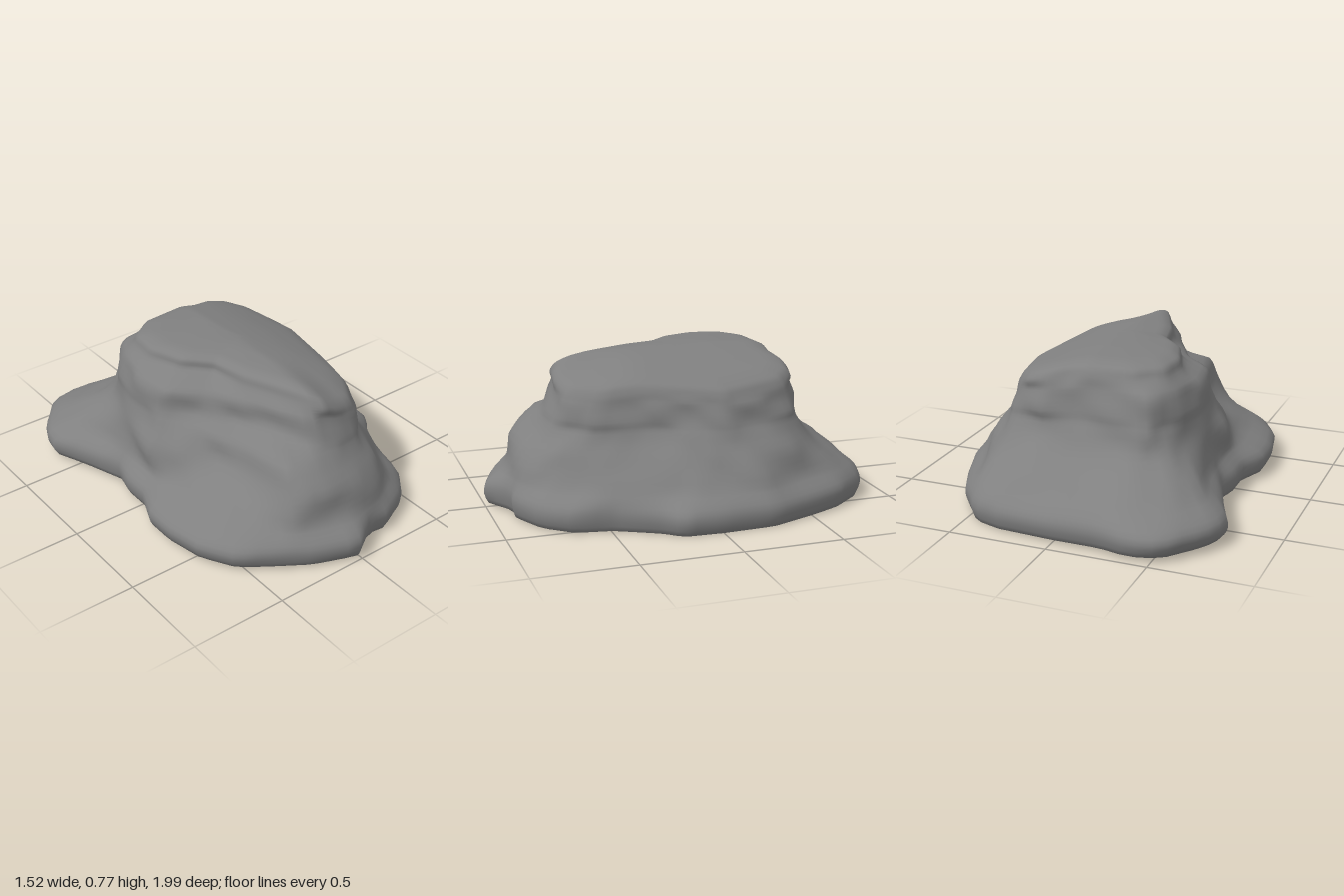
import * as THREE from 'three';

const SIDES = 96, STEPS = 4, CX = 0.05; // CX: x of the axis the contours are measured from
const { lerp, smoothstep } = THREE.MathUtils;

// Distance from the axis to a closed x,z outline along one direction.
function reach(outline, angle) {
  const dx = Math.cos(angle), dz = Math.sin(angle);
  let best = 0;
  for (let i = 0; i < outline.length; i += 2) {
    const k = (i + 2) % outline.length;
    const px = outline[i] - CX, pz = outline[i + 1];
    const ex = outline[k] - CX - px, ez = outline[k + 1] - pz;
    const det = dx * ez - dz * ex;
    if (Math.abs(det) < 1e-9) continue;
    const t = (px * ez - pz * ex) / det;
    const s = (px * dz - pz * dx) / det;
    if (s >= 0 && s <= 1 && t > best) best = t;
  }
  return best;
}

function contour(y, outline, scale = 1) {
  const r = [];
  for (let j = 0; j < SIDES; j++) r.push(reach(outline, (j / SIDES) * Math.PI * 2) * scale);
  return { y, r };
}

// Outlines run back, right, front, left.
const opening = [0, -0.86, -0.4, -0.89, -0.56, -0.8, -0.63, -0.64, -0.58, -0.4, -0.54, -0.15, -0.55, 0.05,
  -0.6, 0.25, -0.57, 0.48, -0.42, 0.72, -0.2, 0.84, 0, 0.88, 0.25, 0.82, 0.42, 0.66, 0.54, 0.42,
  0.63, 0.18, 0.67, -0.1, 0.63, -0.4, 0.52, -0.68, 0.32, -0.83];
const foot = [0, -0.94, -0.25, -0.95, -0.4, -0.99, -0.55, -0.96, -0.7, -0.78, -0.76, -0.64, -0.68, -0.45,
  -0.6, -0.22, -0.63, -0.1, -0.63, 0.05, -0.69, 0.2, -0.69, 0.35, -0.65, 0.55, -0.55, 0.72, -0.4, 0.82,
  -0.24, 0.92, -0.02, 1, 0.14, 0.9, 0.24, 0.91, 0.42, 0.82, 0.53, 0.68, 0.56, 0.5, 0.67, 0.28, 0.74, 0.2,
  0.75, 0, 0.74, -0.27, 0.65, -0.52, 0.58, -0.68, 0.44, -0.86, 0.3, -0.91];
const skirt = [0, -0.85, -0.35, -0.86, -0.55, -0.76, -0.64, -0.6, -0.57, -0.35, -0.55, -0.15, -0.56, 0.05,
  -0.56, 0.2, -0.54, 0.38, -0.49, 0.55, -0.41, 0.69, -0.28, 0.83, 0, 0.9, 0.2, 0.87, 0.38, 0.76,
  0.5, 0.55, 0.58, 0.3, 0.66, 0.1, 0.67, -0.25, 0.57, -0.5, 0.48, -0.7, 0.33, -0.82];
const shelf = [0, -0.65, -0.3, -0.66, -0.45, -0.57, -0.53, -0.3, -0.56, 0, -0.49, 0.16, -0.38, 0.32,
  -0.32, 0.47, -0.29, 0.66, -0.25, 0.8, -0.1, 0.86, 0.1, 0.84, 0.3, 0.74, 0.43, 0.5, 0.5, 0.25,
  0.58, 0, 0.6, -0.2, 0.53, -0.45, 0.42, -0.6, 0.2, -0.66];
const waist = [0, -0.57, -0.35, -0.59, -0.45, -0.45, -0.5, -0.2, -0.5, 0, -0.37, 0.2, -0.3, 0.4, -0.27, 0.55,
  -0.23, 0.68, -0.1, 0.73, 0.05, 0.74, 0.22, 0.7, 0.35, 0.55, 0.4, 0.3, 0.48, 0.1, 0.53, -0.12, 0.49, -0.35,
  0.39, -0.52, 0.2, -0.58];
const shoulder = [0, -0.53, -0.33, -0.54, -0.43, -0.4, -0.47, -0.2, -0.44, 0, -0.32, 0.13, -0.22, 0.28,
  -0.13, 0.5, -0.05, 0.64, 0.1, 0.66, 0.24, 0.64, 0.34, 0.5, 0.37, 0.3, 0.43, 0.1, 0.48, -0.1,
  0.45, -0.3, 0.39, -0.47, 0.2, -0.55];
const crown = [0, -0.49, -0.23, -0.47, -0.35, -0.38, -0.37, -0.22, -0.31, -0.04, -0.2, 0.08, -0.16, 0.26,
  -0.06, 0.5, 0, 0.62, 0.1, 0.62, 0.22, 0.59, 0.31, 0.46, 0.34, 0.3, 0.39, 0.1, 0.44, -0.1,
  0.41, -0.25, 0.37, -0.41, 0.29, -0.49, 0.2, -0.51, 0.08, -0.48];

const catmull = (a, b, c, d, t) =>
  b + 0.5 * t * (c - a + t * (2 * a - 5 * b + 4 * c - d + t * (3 * (b - c) + d - a)));

function rockGeometry() {
  const levels = [
    contour(0.035, opening), // inner edge of the open underside
    contour(0.018, foot, 0.985),
    contour(0.115, foot),
    contour(0.2, skirt),
    contour(0.34, shelf),
    contour(0.46, waist),
    contour(0.53, shoulder, 1.05),
    contour(0.63, shoulder),
    contour(0.69, crown, 1.06),
    contour(0.738, crown),
    contour(0.762, crown, 0.84),
    contour(0.773, crown, 0.45),
    contour(0.775, crown, 0),
  ];
  const last = levels.length - 1, positions = [], index = [];
  const at = (i) => levels[Math.min(last, Math.max(0, i))];
  const rows = last * STEPS;
  for (let row = 0; row <= rows; row++) {
    const i = Math.min(last - 1, Math.floor(row / STEPS)), t = row / STEPS - i;
    const [a, b, c, d] = [at(i - 1), at(i), at(i + 1), at(i + 2)];
    const level = lerp(b.y, c.y, t);
    const high = (level / 0.76) ** 3;
    for (let j = 0; j < SIDES; j++) {
      const angle = (j / SIDES) * Math.PI * 2;
      let r = catmull(a.r[j], b.r[j], c.r[j], d.r[j], t);
      // shallow weathering on the flanks
      const flank = smoothstep(level, 0.1, 0.2) * (1 - smoothstep(level, 0.6, 0.7));
      r += flank * 0.005 * (Math.sin(7 * angle + 17 * level) + Math.sin(11 * angle - 29 * level));
      const x = CX + r * Math.cos(angle), z = r * Math.sin(angle);
      // the top falls away to the left and over the nose, the foot tilts slightly
      const left = Math.max(0, x);
      const nose = smoothstep(z, 0.25, 0.65) * smoothstep(x, -0.05, 0.15);
      const y = level - (0.17 * left + 0.25 * left * left + 0.05 * nose) * high - 0.02 * x * (1 - level / 0.78);
      positions.push(x, Math.max(0, y), z);
    }
  }
  for (let row = 0; row < rows; row++) {
    for (let j = 0; j < SIDES; j++) {
      const a = row * SIDES + j, b = row * SIDES + ((j + 1) % SIDES);
      index.push(a, a + SIDES, b, b, a + SIDES, b + SIDES);
    }
  }
  const geometry = new THREE.BufferGeometry();
  geometry.setAttribute('position', new THREE.Float32BufferAttribute(positions, 3));
  geometry.setIndex(index);
  geometry.computeVertexNormals();
  // the closing point of the top shares one upward normal
  for (let j = 0; j < SIDES; j++) geometry.attributes.normal.setXYZ(rows * SIDES + j, 0.19, 0.98, 0);
  return geometry;
}

export function createModel() {
  const group = new THREE.Group();
  group.name = 'rock';
  const material = new THREE.MeshStandardMaterial({ color: 0x808080, side: THREE.DoubleSide });
  const shell = new THREE.Mesh(rockGeometry(), material);
  shell.name = 'rockShell';
  group.add(shell);
  return group;
}
